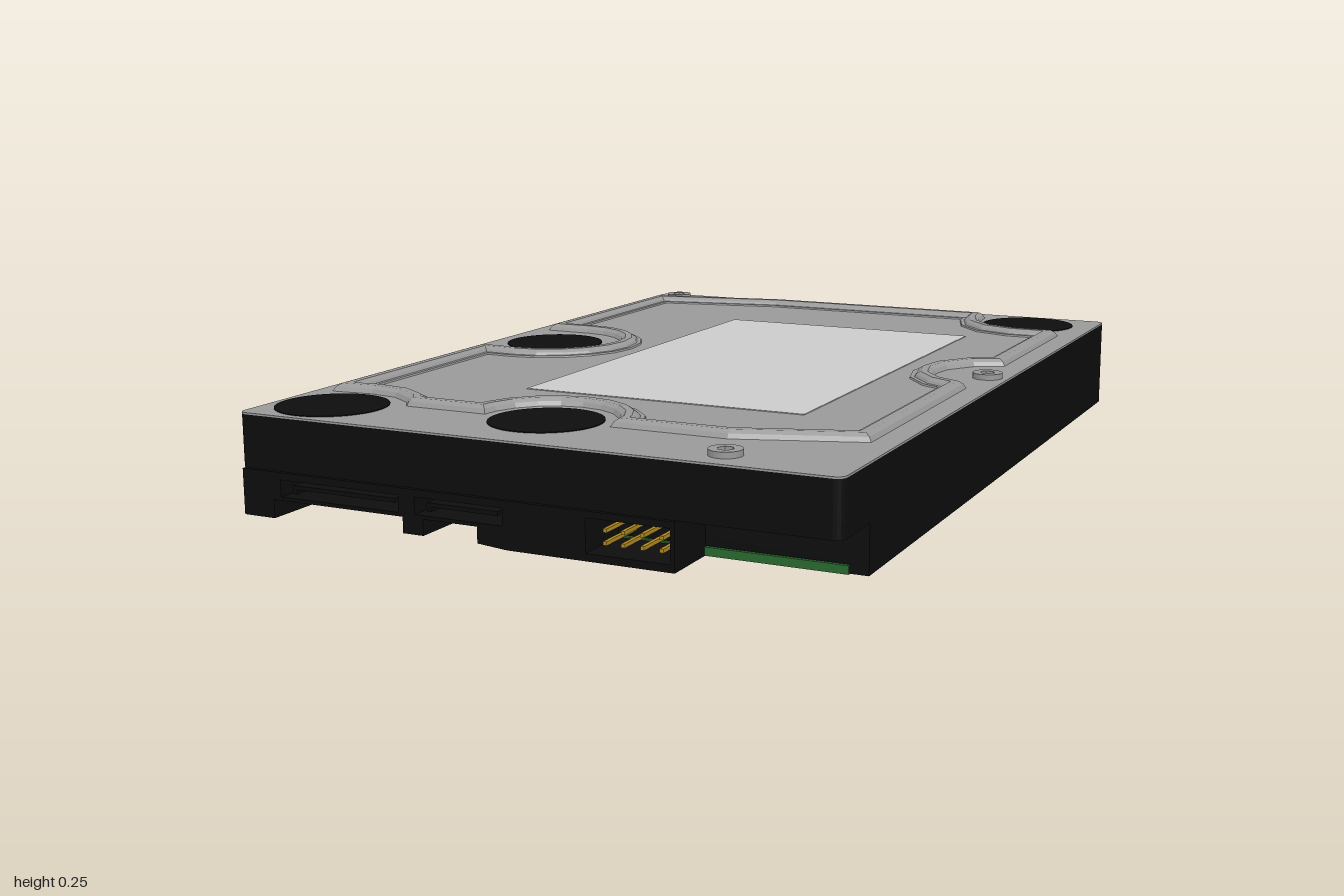
import * as THREE from 'three';

const mat = (color, extra = {}) => new THREE.MeshStandardMaterial({ color, ...extra });
const black = mat(0x0d0d0d), steel = mat(0x999999), pale = mat(0xcccccc), green = mat(0x2a6a30), gold = mat(0xb08a20);

export function createModel() {
  const root = new THREE.Group();
  root.name = 'hardDrive';

  const add = (name, geo, material) => {
    const m = new THREE.Mesh(geo, material);
    m.name = name;
    root.add(m);
    return m;
  };
  const box = (name, x0, x1, y0, y1, z0, z1, material) =>
    add(name, new THREE.BoxGeometry(x1 - x0, y1 - y0, z1 - z0), material)
      .position.set((x0 + x1) / 2, (y0 + y1) / 2, (z0 + z1) / 2);
  // Horizontal slab from an [x, z] outline
  const slab = (name, pts, y0, y1, material) => {
    const shape = new THREE.Shape(pts.map(([x, z]) => new THREE.Vector2(x, -z)));
    const geo = new THREE.ExtrudeGeometry(shape, { depth: y1 - y0, bevelEnabled: false });
    geo.rotateX(-Math.PI / 2).translate(0, y0, 0);
    return add(name, geo, material);
  };
  const arc = (cx, cz, r, a0, a1, n) => Array.from({ length: n + 1 }, (_, i) => {
    const a = (a0 + (a1 - a0) * i / n) * Math.PI / 180;
    return [cx + r * Math.cos(a), cz + r * Math.sin(a)];
  });

  // Casing: full upper half, lower half stopping short of the connector bay
  const c = 0.02, X = 0.69, e = X - c, f = 1 - c;
  const footprint = [...arc(e, f, c, 0, 90, 4), ...arc(-e, f, c, 90, 180, 4),
    ...arc(-e, -f, c, 180, 270, 4), ...arc(e, -f, c, 270, 360, 4)];
  const back = [...arc(-e, -f, c, 180, 270, 4), ...arc(e, -f, c, 270, 360, 4)];
  slab('upperCasing', footprint, 0.11, 0.226, black);
  slab('lowerCasing', [...back, [X, 0.86], [-X, 0.86]], 0.024, 0.11, black);
  slab('bottomRim', [...back, [X, 0.86], [0.65, 0.86], [0.65, -0.96], [-0.65, -0.96], [-0.65, 0.86], [-X, 0.86]],
    0.006, 0.024, black);
  slab('topCover', footprint, 0.226, 0.23, steel);

  // Underside relief and circuit board
  slab('bottomPanel', [[0.65, -0.2], [0.35, -0.31], [0.05, -0.68], [-0.3, -0.48], [-0.65, -0.68],
    [-0.65, 0.46], [-0.18, 0.45], [0.22, 0.09], [0.65, 0.09]], 0.013, 0.024, black);
  box('bottomRib', 0.03, 0.05, 0.013, 0.024, -0.96, -0.67, black);
  slab('circuitBoard', [[0.65, 0.09], [0.22, 0.09], [-0.18, 0.45], [-0.65, 0.46], [-0.65, 0.865], [0.65, 0.865]],
    0.005, 0.023, green);

  // Raised bead running around the cover
  const outline = [
    [-0.65, -0.86], [-0.27, -0.935], [0.365, -0.935], [0.375, -0.86], [0.4, -0.79], [0.45, -0.735], [0.52, -0.71],
    [0.635, -0.71], [0.635, -0.21], [0.57, -0.175], [0.525, -0.11], [0.515, -0.05], [0.53, 0.01], [0.57, 0.06],
    [0.635, 0.095], [0.635, 0.71], [0.365, 0.8], [0.1, 0.8],
    ...arc(-0.05, 0.8, 0.15, -15, -165, 8), [-0.2, 0.8],
    [-0.4, 0.8], [-0.425, 0.765], [-0.48, 0.73], [-0.55, 0.72], [-0.65, 0.73], [-0.65, 0.115],
    ...arc(-0.53, -0.05, 0.17, 90, -90, 10), [-0.65, -0.22],
  ];
  const inset = (pts, d) => pts.map((p, i) => {
    const n = pts.length, a = pts[(i + n - 1) % n], b = pts[(i + 1) % n];
    const unit = (u, v) => new THREE.Vector2(u[1] - v[1], v[0] - u[0]).normalize();
    const n1 = unit(a, p), n2 = unit(p, b), k = d / Math.max(0.4, 1 + n1.dot(n2));
    return [p[0] + (n1.x + n2.x) * k, p[1] + (n1.y + n2.y) * k];
  });
  const rows = [[0, 0.229], [0.006, 0.24], [0.016, 0.247], [0.032, 0.247], [0.042, 0.24], [0.046, 0.234],
    [0.056, 0.234], [0.058, 0.229]]
    .map(([d, y]) => inset(outline, d).map(([x, z]) => [x, y, z]));
  const pos = [];
  for (let r = 0; r < rows.length - 1; r++) {
    outline.forEach((_, i) => {
      const j = (i + 1) % outline.length;
      const [a, b, p, q] = [rows[r][i], rows[r][j], rows[r + 1][i], rows[r + 1][j]];
      pos.push(...a, ...p, ...b, ...b, ...p, ...q);
    });
  }
  const bead = new THREE.BufferGeometry();
  bead.setAttribute('position', new THREE.Float32BufferAttribute(pos, 3));
  bead.computeVertexNormals();
  add('coverBead', bead, mat(0x999999, { side: THREE.DoubleSide, flatShading: true }));

  // Blank label and dark round seals
  box('label', -0.265, 0.415, 0.229, 0.232, -0.595, 0.525, pale);
  for (const [x, z] of [[-0.53, -0.05], [0.51, -0.86], [-0.55, 0.86], [-0.05, 0.8]]) {
    add('roundSeal', new THREE.CylinderGeometry(0.123, 0.123, 0.004, 48), black).position.set(x, 0.23, z);
  }

  // Screws with hexagonal sockets
  const screw = (name, x, y, z, r, h, flip) => {
    const head = new THREE.Shape().absarc(0, 0, r, 0, Math.PI * 2);
    head.holes.push(new THREE.Path(arc(0, 0, r * 0.5, 0, 300, 5).map(([u, v]) => new THREE.Vector2(u, v))));
    const geo = new THREE.ExtrudeGeometry(head, { depth: h, bevelEnabled: false, curveSegments: 12 });
    geo.rotateX(flip ? Math.PI / 2 : -Math.PI / 2);
    add(name, geo, steel).position.set(x, y, z);
  };
  for (const [x, z] of [[-0.61, -0.935], [0.64, -0.05], [0.42, 0.925]]) screw('coverScrew', x, 0.229, z, 0.035, 0.014, false);
  for (const [x, z] of [[0.33, 0.17], [0.54, 0.64], [0.17, 0.78], [-0.56, 0.64]]) screw('boardScrew', x, 0.006, z, 0.032, 0.006, true);

  // Connector block with plug slots and a pin window
  const v = ([x, y]) => new THREE.Vector2(x, y);
  const front = new THREE.Shape([[-X, 0.004], [-0.61, 0.004], [-0.61, 0.045], [-0.28, 0.045], [-0.28, 0.01],
    [-0.23, 0.01], [-0.23, 0.045], [-0.1, 0.045], [-0.1, 0.01], [-0.03, 0.004], [0.345, 0.004],
    [0.345, 0.106], [-X, 0.106]].map(v));
  const slots = [[-0.59, -0.29, 0.053, 0.09], [-0.25, -0.04, 0.053, 0.09], [0.15, 0.335, 0.02, 0.092]];
  for (const [a, b, lo, hi] of slots) front.holes.push(new THREE.Path([[a, lo], [a, hi], [b, hi], [b, lo]].map(v)));
  add('connectorBlock', new THREE.ExtrudeGeometry(front, { depth: 0.135, bevelEnabled: false }), black)
    .position.z = 0.86;
  for (const [a, b] of slots.slice(0, 2)) {
    box('connectorTongue', a + 0.02, b - 0.02, 0.068, 0.077, 0.86, 0.98, black);
    box('tongueKey', a + 0.02, a + 0.03, 0.058, 0.068, 0.86, 0.98, black);
  }
  for (const x of [0.188, 0.228, 0.27, 0.312]) {
    for (const y of [0.042, 0.068]) box('pin', x - 0.004, x + 0.004, y - 0.004, y + 0.004, 0.86, 0.985, gold);
  }
  return root;
}
